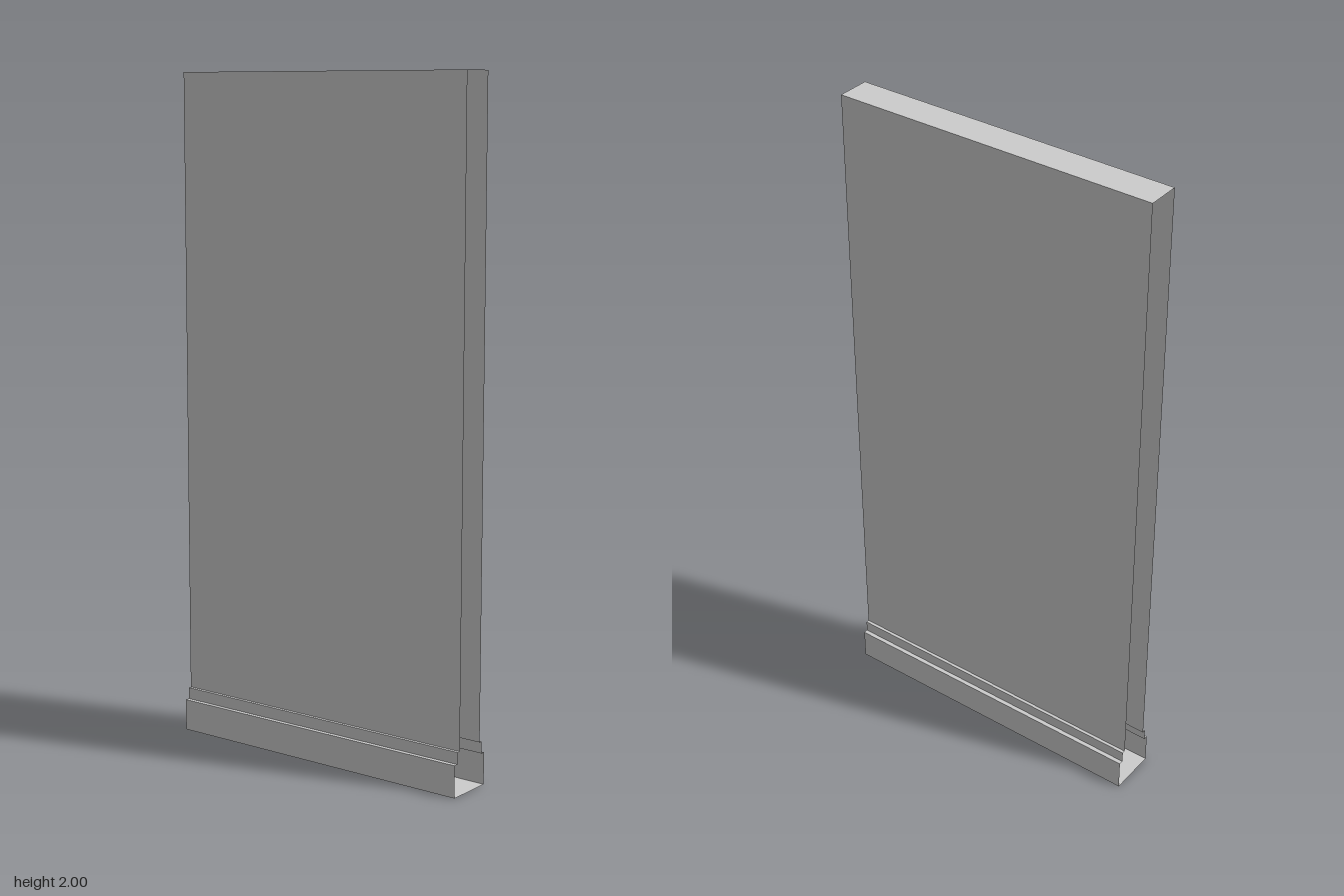
import * as THREE from 'three';

const HALF_WIDTH = 0.5;
const WALL_Z = 0.05, TRIM_Z = 0.06, BASE_Z = 0.0735;
const BASE_TOP = 0.095, TRIM_TOP = 0.13, HEIGHT = 2;

const material = new THREE.MeshStandardMaterial({
  color: 0xcccccc, flatShading: true, side: THREE.DoubleSide,
});

// Sweeps an open [z, y] profile along x, leaving the ends open
function strip(name, profile) {
  const positions = [];
  for (let i = 0; i < profile.length - 1; i++) {
    const [z0, y0] = profile[i], [z1, y1] = profile[i + 1];
    const a = [-HALF_WIDTH, y0, z0], b = [HALF_WIDTH, y0, z0];
    const c = [HALF_WIDTH, y1, z1], d = [-HALF_WIDTH, y1, z1];
    positions.push(...a, ...b, ...c, ...a, ...c, ...d);
  }
  const geometry = new THREE.BufferGeometry();
  geometry.setAttribute('position', new THREE.Float32BufferAttribute(positions, 3));
  geometry.computeVertexNormals();
  const mesh = new THREE.Mesh(geometry, material);
  mesh.name = name;
  return mesh;
}

export function createModel() {
  const group = new THREE.Group();
  group.name = 'wallPanel';

  // Two faces joined by the top
  group.add(strip('wall', [
    [WALL_Z, TRIM_TOP], [WALL_Z, HEIGHT], [-WALL_Z, HEIGHT], [-WALL_Z, TRIM_TOP],
  ]));

  // Stepped skirting on both faces; the back one is the front turned round
  const skirting = [
    [BASE_Z, 0], [BASE_Z, BASE_TOP], [TRIM_Z, BASE_TOP], [TRIM_Z, TRIM_TOP], [WALL_Z, TRIM_TOP],
  ];
  for (const [name, angle] of [['frontSkirting', 0], ['backSkirting', Math.PI]]) {
    const mesh = strip(name, skirting);
    mesh.rotation.y = angle;
    group.add(mesh);
  }

  // Underside
  group.add(strip('bottom', [[-BASE_Z, 0], [BASE_Z, 0]]));
  return group;
}
